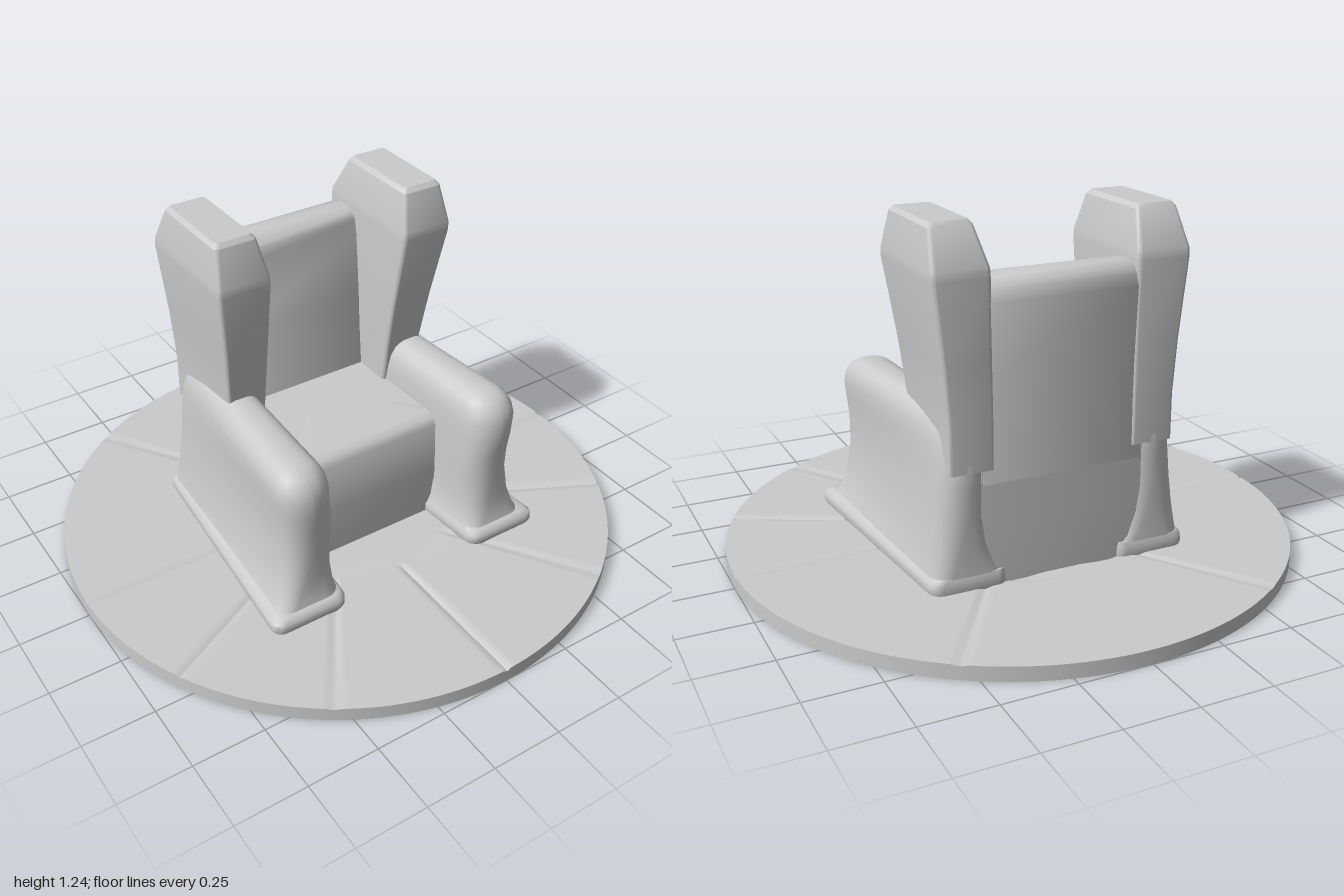
import * as THREE from 'three';
import { toCreasedNormals } from 'three/addons/utils/BufferGeometryUtils.js';

const material = new THREE.MeshStandardMaterial({ color: 0xcccccc });

function addMesh(group, name, geometry, crease) {
  const mesh = new THREE.Mesh(toCreasedNormals(geometry, crease), material);
  mesh.name = name;
  group.add(mesh);
}

// Rounded four-sided outline: back edge b0..b1 at z0, front edge f0..f1 at z1
function outline([y, b0, b1, f0, f1, z0, z1, r], steps = 5) {
  const points = [];
  const depth = z1 - z0, width = Math.min(b1 - b0, f1 - f0);
  const ru = Math.min(0.48, r / width), rv = Math.min(0.48, r / depth);
  [[1, 1], [0, 1], [0, 0], [1, 0]].forEach(([cu, cv], corner) => {
    for (let i = 0; i <= steps; i++) {
      const a = (corner + i / steps) * Math.PI / 2;
      const u = (cu ? 1 - ru : ru) + ru * Math.cos(a);
      const v = (cv ? 1 - rv : rv) + rv * Math.sin(a);
      const left = b0 + (f0 - b0) * v, right = b1 + (f1 - b1) * v;
      points.push([left + (right - left) * u, y, z0 + depth * v]);
    }
  });
  return points;
}

// Skin over stacked outlines, closed at both ends
function loft(sections) {
  const loops = sections.map(s => outline(s));
  const n = loops[0].length;
  const positions = loops.flat(2);
  const index = [];
  for (let j = 0; j < loops.length - 1; j++) {
    for (let i = 0; i < n; i++) {
      const p = j * n + i, p2 = j * n + (i + 1) % n;
      index.push(p, p + n, p2, p2, p + n, p2 + n);
    }
  }
  [0, loops.length - 1].forEach((j, end) => {
    const centre = positions.length / 3;
    const sum = [0, 1, 2].map(k => loops[j].reduce((t, p) => t + p[k], 0) / n);
    positions.push(...sum);
    for (let i = 0; i < n; i++) {
      const p = j * n + i, p2 = j * n + (i + 1) % n;
      if (end) index.push(centre, p2, p);
      else index.push(centre, p, p2);
    }
  });
  const geometry = new THREE.BufferGeometry();
  geometry.setAttribute('position', new THREE.Float32BufferAttribute(positions, 3));
  geometry.setIndex(index);
  return geometry;
}

const mirrored = sections => sections.map(
  ([y, b0, b1, f0, f1, ...rest]) => [y, -b1, -b0, -f1, -f0, ...rest]);

// Paved disc with shallow radial joints and a central ring joint
function pavedDisc() {
  const profile = [new THREE.Vector2(0, 0), new THREE.Vector2(1, 0)];
  for (let i = 40; i >= 0; i--) profile.push(new THREE.Vector2(i / 40, 0.05));
  const geometry = new THREE.LatheGeometry(profile, 360);
  const joints = [0, 33.5, -33.5, 63, -63, 91, -91, 146.5, -146.5].map(THREE.MathUtils.degToRad);
  const pos = geometry.attributes.position;
  for (let i = 0; i < pos.count; i++) {
    if (pos.getY(i) < 0.04) continue;
    const x = pos.getX(i), z = pos.getZ(i), r = Math.hypot(x, z);
    let gap = Math.abs(Math.hypot(x, z + 0.02) - 0.43);
    if (r > 0.42) {
      const a = Math.atan2(x, z);
      for (const joint of joints) gap = Math.min(gap, r * Math.abs(a - joint));
    }
    pos.setY(i, 0.05 - 0.008 * Math.max(0, 1 - gap / 0.018));
  }
  return geometry;
}

export function createModel() {
  const group = new THREE.Group();
  addMesh(group, 'pavedBase', pavedDisc(), 0.7);

  // Seat block: y, back x range, front x range, z range, corner radius
  const seat = [
    [0.045, -0.3, 0.3, -0.3, 0.3, -0.42, 0.225, 0.01],
    [0.25, -0.3, 0.3, -0.3, 0.3, -0.42, 0.235, 0.01],
    [0.43, -0.3, 0.3, -0.3, 0.3, -0.42, 0.225, 0.01],
    [0.455, -0.3, 0.3, -0.3, 0.3, -0.42, 0.21, 0.01],
    [0.465, -0.3, 0.3, -0.3, 0.3, -0.42, 0.18, 0.01],
  ];
  addMesh(group, 'seat', loft(seat), 0.9);

  // Backrest with a rolled top
  const backrest = [
    [0.4, -0.29, 0.29, -0.29, 0.29, -0.424, -0.205, 0.01],
    [0.75, -0.29, 0.29, -0.29, 0.29, -0.422, -0.235, 0.01],
    [0.99, -0.29, 0.29, -0.29, 0.29, -0.425, -0.26, 0.01],
    [1.035, -0.29, 0.29, -0.29, 0.29, -0.418, -0.27, 0.01],
    [1.06, -0.29, 0.29, -0.29, 0.29, -0.395, -0.29, 0.01],
    [1.07, -0.29, 0.29, -0.29, 0.29, -0.365, -0.32, 0.01],
  ];
  addMesh(group, 'backrest', loft(backrest), 0.9);

  // Skirting under each arm
  const foot = [
    [0.045, 0.2, 0.465, 0.27, 0.545, -0.435, 0.48, 0.04],
    [0.06, 0.2, 0.47, 0.265, 0.55, -0.437, 0.487, 0.04],
    [0.085, 0.2, 0.468, 0.265, 0.548, -0.435, 0.485, 0.04],
    [0.1, 0.2, 0.455, 0.275, 0.53, -0.43, 0.468, 0.04],
  ];
  // Arm flaring at the floor and rounded over at the top
  const arm = [
    [0.08, 0.2, 0.46, 0.27, 0.52, -0.432, 0.465, 0.05],
    [0.12, 0.22, 0.455, 0.28, 0.5, -0.43, 0.45, 0.06],
    [0.2, 0.24, 0.445, 0.285, 0.475, -0.43, 0.445, 0.07],
    [0.3, 0.25, 0.435, 0.28, 0.462, -0.43, 0.445, 0.08],
    [0.4, 0.25, 0.425, 0.28, 0.46, -0.43, 0.452, 0.08],
    [0.47, 0.25, 0.418, 0.285, 0.468, -0.43, 0.46, 0.085],
    [0.53, 0.255, 0.41, 0.287, 0.476, -0.42, 0.458, 0.085],
    [0.57, 0.26, 0.4, 0.295, 0.472, -0.41, 0.445, 0.08],
    [0.6, 0.275, 0.385, 0.31, 0.455, -0.4, 0.42, 0.07],
    [0.615, 0.29, 0.37, 0.33, 0.435, -0.39, 0.39, 0.05],
    [0.622, 0.31, 0.35, 0.355, 0.41, -0.38, 0.36, 0.03],
  ];
  // Upright wing with a bevelled crown
  const wing = [
    [0.45, 0.25, 0.405, 0.25, 0.4, -0.429, -0.07, 0.012],
    [0.61, 0.25, 0.405, 0.25, 0.398, -0.429, -0.05, 0.012],
    [0.8, 0.253, 0.42, 0.253, 0.415, -0.428, -0.02, 0.012],
    [1.07, 0.255, 0.452, 0.258, 0.45, -0.428, 0.026, 0.015],
    [1.1, 0.256, 0.452, 0.26, 0.45, -0.425, 0.025, 0.015],
    [1.225, 0.283, 0.436, 0.283, 0.434, -0.36, -0.015, 0.015],
    [1.24, 0.295, 0.425, 0.295, 0.423, -0.345, -0.03, 0.012],
  ];
  for (const [side, place] of [['left', s => s], ['right', mirrored]]) {
    addMesh(group, side + 'Foot', loft(place(foot)), 0.9);
    addMesh(group, side + 'Arm', loft(place(arm)), 0.9);
    addMesh(group, side + 'Wing', loft(place(wing)), 0.42);
  }
  return group;
}
